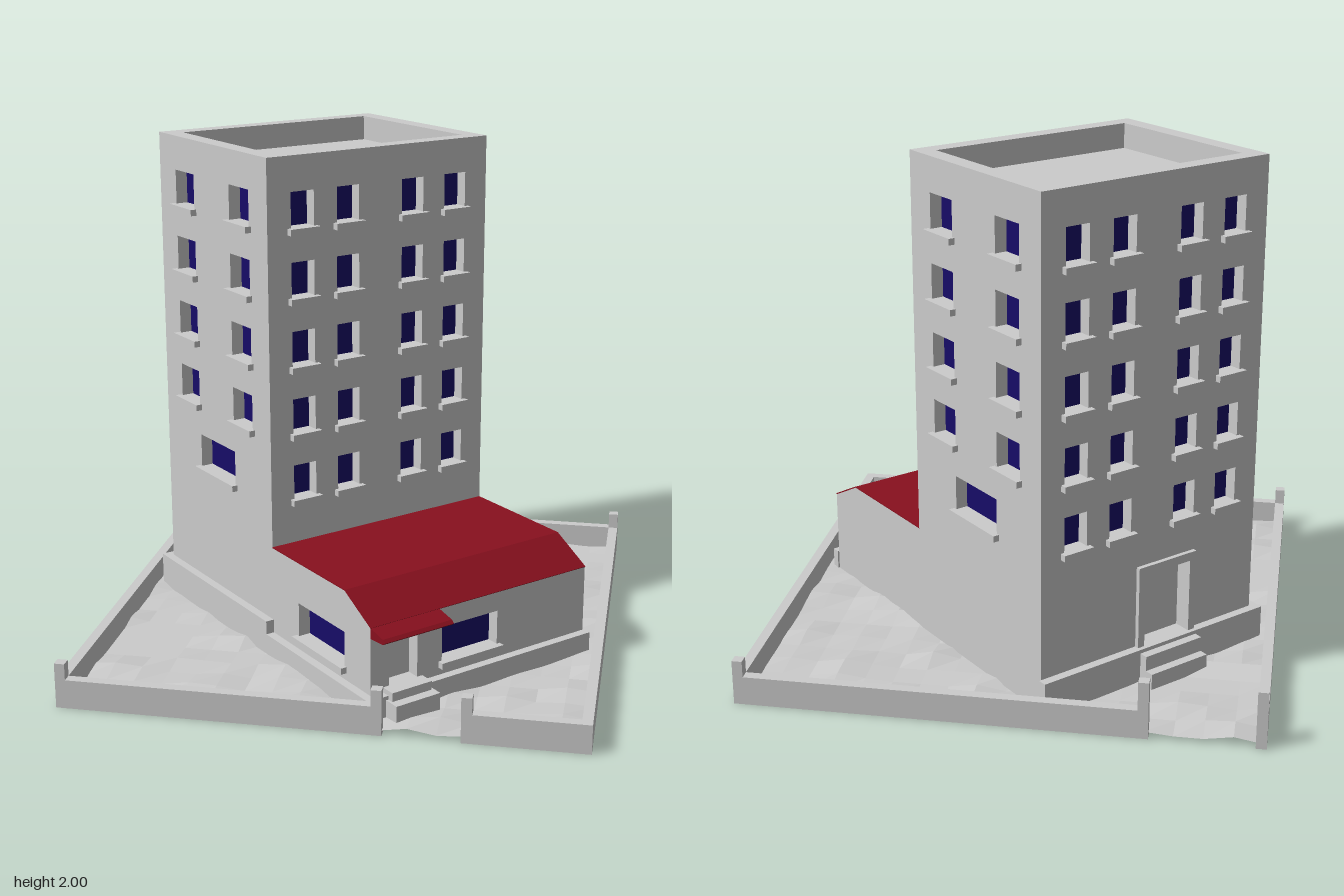
import * as THREE from 'three';

const T = 0.053;                       // wall thickness / window recess
const HW = 0.516;                      // half width of the building
const BACK = -0.757, MID = 0.078, FRONT = 0.757; // tower back, tower front, annex front
const HALL = 0.46, EAVES = 0.37, TOP = 2;

const mat = (color, side = THREE.FrontSide) =>
  new THREE.MeshStandardMaterial({ color, side, flatShading: true });
const grey = mat(0xcccccc), red = mat(0x88101e), blue = mat(0x170c68);

function add(parent, name, geometry, material = grey) {
  const mesh = new THREE.Mesh(geometry, material);
  mesh.name = name;
  parent.add(mesh);
  return mesh;
}

// Box given by its limits
function block(parent, name, x0, x1, y0, y1, z0, z1, material) {
  const g = new THREE.BoxGeometry(x1 - x0, y1 - y0, z1 - z0);
  g.translate((x0 + x1) / 2, (y0 + y1) / 2, (z0 + z1) / 2);
  return add(parent, name, g, material);
}

const polygon = (pts) => new THREE.Shape(pts.map(([x, y]) => new THREE.Vector2(x, y)));
const rect = (x0, x1, y0, y1) => [[x0, y0], [x1, y0], [x1, y1], [x0, y1]];
const slab = (shape, depth) => new THREE.ExtrudeGeometry(shape, { depth, bevelEnabled: false });

// A wall in its own frame: x along the wall, +z outwards, outer surface at z = 0
function wall(parent, name, angle, x, z, outline, openings) {
  const group = new THREE.Group();
  group.name = name;
  group.rotation.y = angle;
  group.position.set(x, 0, z);
  parent.add(group);

  const shape = polygon(outline);
  for (const o of openings) {
    shape.holes.push(polygon(rect(o.x - o.w / 2, o.x + o.w / 2, o.y, o.y + o.h)));
  }
  add(group, 'wallPanel', slab(shape, T)).position.z = -T;

  for (const o of openings) {
    if (o.door) continue;
    const pane = add(group, 'windowPane', new THREE.PlaneGeometry(o.w, o.h), blue);
    pane.position.set(o.x, o.y + o.h / 2, -T + 0.003);
    block(group, 'windowSill', o.x - o.w / 2 - 0.015, o.x + o.w / 2 + 0.015,
      o.y - 0.025, o.y, -0.01, 0.025);
  }
  return group;
}

const rowY = (i) => 0.645 + 0.27 * i;
const win = (x, y, w, h = 0.138) => ({ x, y, w, h });

// Profile swept across the width of the building, given as [z, y] points
function across(parent, name, pts, x0, x1, material) {
  const g = slab(polygon(pts), x1 - x0);
  g.rotateY(-Math.PI / 2);
  g.translate(x1, 0, 0);
  return add(parent, name, g, material);
}

function createBuilding() {
  const b = new THREE.Group();
  b.name = 'building';

  // Solid cores behind the walls
  const inX = HW - T;
  block(b, 'towerCore', -inX, inX, 0.02, 1.9, BACK + T, MID - T);
  block(b, 'annexCore', -inX, inX, 0.02, EAVES - 0.005, MID - T, FRONT - T);

  // Long faces of the tower, four windows on each of five floors
  const grid = [];
  for (let i = 0; i < 5; i++) {
    for (const x of [-0.36, -0.153, 0.153, 0.36]) grid.push(win(x, rowY(i), 0.103));
  }
  wall(b, 'towerFrontWall', 0, 0, MID, rect(-inX, inX, EAVES, TOP), grid);
  const door = { x: 0.07, y: 0.155, w: 0.22, h: 0.3, door: true };
  const back = wall(b, 'towerBackWall', Math.PI, 0, BACK, rect(-inX, inX, 0.02, TOP), [...grid, door]);

  // Side walls run through tower and annex
  for (const s of [1, -1]) {
    const outline = [[BACK, 0.02], [FRONT, 0.02], [FRONT, EAVES], [0.587, HALL],
      [MID, HALL], [MID, TOP], [BACK, TOP]].map(([z, y]) => [z * s, y]);
    const openings = [win(-0.338 * s, rowY(0), 0.275)];
    for (let i = 1; i < 5; i++) {
      openings.push(win(-0.553 * s, rowY(i), 0.147), win(-0.13 * s, rowY(i), 0.147));
    }
    if (s > 0) openings.push(win(0.426, 0.155, 0.318));
    wall(b, s > 0 ? 'rightSideWall' : 'leftSideWall', -s * Math.PI / 2, -s * HW, 0, outline, openings);
  }

  // Annex front with entrance and window
  wall(b, 'annexFrontWall', 0, 0, FRONT, rect(-inX, inX, 0.02, EAVES), [
    { x: -0.369, y: 0.12, w: 0.13, h: 0.17, door: true },
    win(-0.057, 0.155, 0.265),
  ]);

  // Parapet lining around the sunken roof
  const lining = polygon(rect(-inX, inX, BACK + T, MID - T));
  lining.holes.push(polygon(rect(-HW + 0.072, HW - 0.072, BACK + 0.07, MID - 0.07)));
  const ring = slab(lining, 0.11);
  ring.rotateX(Math.PI / 2);
  ring.scale(1, 1, 1);
  add(b, 'parapetLining', ring).position.y = TOP;

  // Annex roof and entrance canopy
  const t = 0.004;
  across(b, 'annexRoof', [[MID, HALL], [0.587, HALL], [FRONT, EAVES], [FRONT + t, EAVES + t],
    [0.587 + t / 2, HALL + t], [MID, HALL + t]], -HW, HW, red);
  across(b, 'entranceCanopy', [[FRONT, 0.33], [0.835, 0.335], [0.848, 0.345], [0.835, 0.356],
    [FRONT, 0.372]], -HW, -0.204, red);

  // Back door surround
  const surround = polygon(rect(-0.07, 0.21, 0.155, 0.49));
  surround.holes.push(polygon(rect(-0.04, 0.18, 0.155, 0.455)));
  add(back, 'doorSurround', slab(surround, 0.018));

  // Plinth ledges
  const P = 0.035;
  block(b, 'towerSidePlinth', -HW - P, -HW, 0.01, 0.155, BACK - P, MID);
  block(b, 'towerBackPlinth', -HW, HW + 0.007, 0.01, 0.155, BACK - P, BACK);
  block(b, 'annexSidePlinth', -HW - P, -HW, 0.01, 0.1, MID, FRONT + P);
  block(b, 'annexFrontPlinth', -HW, HW + 0.007, 0.01, 0.1, FRONT, FRONT + P);

  // Entrance steps
  block(b, 'frontUpperStep', -0.46, -0.28, 0.01, 0.12, FRONT, FRONT + 0.06);
  block(b, 'frontLowerStep', -0.47, -0.27, 0.01, 0.085, FRONT, FRONT + 0.1);
  block(b, 'backUpperStep', -0.204, 0.071, 0.01, 0.14, BACK - 0.07, BACK);
  block(b, 'backLowerStep', -0.204, 0.071, 0.01, 0.08, BACK - 0.106, BACK);

  b.rotation.y = Math.PI / 4;
  b.position.set(0.01, 0, -0.01);
  return b;
}

function createYard() {
  const yard = new THREE.Group();
  yard.name = 'yard';

  // Bumpy ground
  let seed = 7;
  const random = () => (seed = (seed * 16807) % 2147483647) / 2147483647;
  const ground = new THREE.PlaneGeometry(1.98, 1.98, 18, 18);
  ground.rotateX(-Math.PI / 2);
  const p = ground.attributes.position;
  for (let i = 0; i < p.count; i++) {
    p.setY(i, 0.015 + 0.05 * Math.max(0, random() - 0.55));
  }
  ground.computeVertexNormals();
  add(yard, 'ground', ground, mat(0xcccccc, THREE.DoubleSide));

  // Boundary walls with a gateway at the front and one at the back
  const H = 0.115, I = 0.96;
  block(yard, 'rightFence', -1, -I, 0, H, -1, 1);
  block(yard, 'leftFence', I, 1, 0, H, -1, 1);
  block(yard, 'frontFence', -I, 0.24, 0, H, I, 1);
  block(yard, 'frontFence', 0.53, I, 0, H, I, 1);
  block(yard, 'backFence', -0.57, I, 0, H, -1, -I);

  // Posts: x, z, height
  for (const [x, z, h] of [[-0.98, -0.98, 0.23], [-0.55, -0.98, 0.23], [0.98, -0.98, 0.18],
    [-0.98, 0.98, 0.18], [0.22, 0.98, 0.18], [0.55, 0.98, 0.18]]) {
    block(yard, 'fencePost', x - 0.02, x + 0.02, H - 0.01, h, z - 0.02, z + 0.02);
  }
  return yard;
}

export function createModel() {
  const model = new THREE.Group();
  model.name = 'apartmentBlock';
  model.add(createYard(), createBuilding());
  return model;
}
